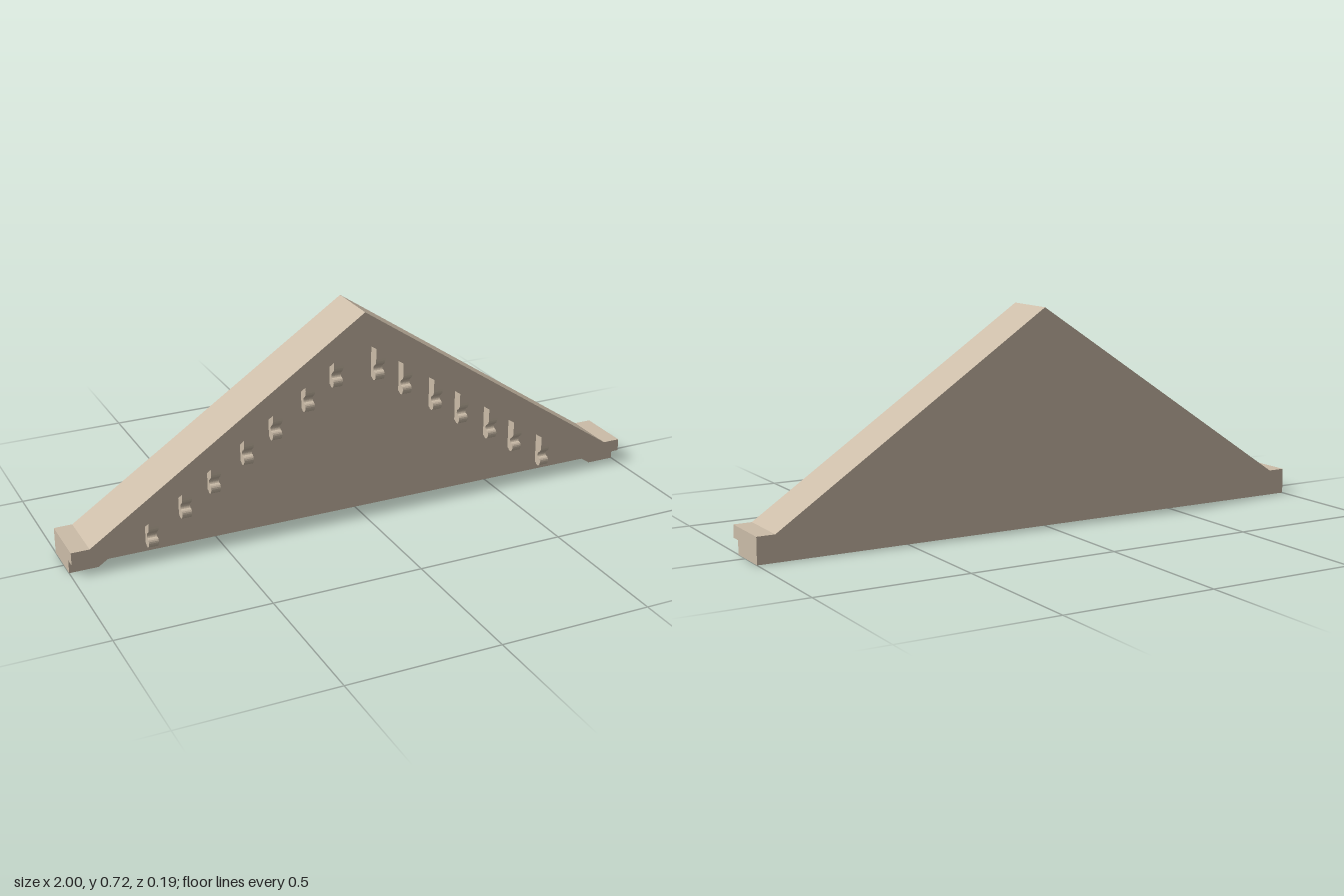
import * as THREE from 'three';

const BACK = -0.094, WALL = 0.019, BED = 0.057, FRONT = 0.094;
const material = new THREE.MeshStandardMaterial({ color: 0xcbbca8, side: THREE.DoubleSide });

// Closed shape from the right half of an outline, mirrored to the left
function mirroredShape(half) {
  const left = half.filter(([x]) => x > 0).reverse().map(([x, y]) => [-x, y]);
  return new THREE.Shape([...half, ...left].map(([x, y]) => new THREE.Vector2(x, y)));
}

function slab(name, shape, z0, z1) {
  const geometry = new THREE.ExtrudeGeometry(shape, { depth: z1 - z0, bevelEnabled: false });
  geometry.translate(0, 0, z0);
  const mesh = new THREE.Mesh(geometry, material);
  mesh.name = name;
  return mesh;
}

// Side profile of a scroll bracket: y = 0 lies on the raking soffit
function bracketGeometry(width) {
  const s = new THREE.Shape();
  s.moveTo(WALL - 0.005, 0.012);
  s.lineTo(BED - 0.001, 0.012);
  s.lineTo(BED - 0.001, -0.026);
  // upper curl, hollow neck, lower curl
  s.bezierCurveTo(0.057, -0.044, 0.046, -0.048, 0.039, -0.054);
  s.bezierCurveTo(0.034, -0.059, 0.034, -0.066, 0.038, -0.071);
  s.bezierCurveTo(0.053, -0.070, 0.056, -0.086, 0.049, -0.096);
  s.bezierCurveTo(0.043, -0.106, 0.030, -0.106, 0.025, -0.098);
  s.lineTo(WALL - 0.005, -0.096);
  const geometry = new THREE.ExtrudeGeometry(s, { depth: width, bevelEnabled: false, curveSegments: 6 });
  geometry.translate(0, 0, -width / 2);
  geometry.rotateY(-Math.PI / 2);
  return geometry;
}

export function createModel() {
  const group = new THREE.Group();
  group.name = 'pediment';

  const top = [[1, 0.087], [0.94, 0.087], [0, 0.717]];

  // Gable wall filling the whole outline
  group.add(slab('gableWall', mirroredShape([[1, 0], ...top]), BACK, WALL));

  // Inner raking moulding
  group.add(slab('bedMoulding',
    mirroredShape([[0, 0.61], [0.905, 0], [1, 0], ...top.slice(0, 2), [0, 0.717]]), WALL, BED));

  // Outer raking moulding with level returns at the eaves
  group.add(slab('crownMoulding',
    mirroredShape([[0, 0.667], [0.925, 0.045], [1, 0.045], ...top]), BED, FRONT));

  // Scroll brackets hanging under the raking moulding
  const geometry = bracketGeometry(0.033);
  for (const side of [-1, 1]) {
    for (const x of [0.075, 0.175, 0.29, 0.39, 0.505, 0.605, 0.72]) {
      const bracket = new THREE.Mesh(geometry, material);
      bracket.name = side > 0 ? 'leftBracket' : 'rightBracket';
      bracket.position.set(side * x, 0.61 * (1 - x / 0.905), 0);
      group.add(bracket);
    }
  }
  return group;
}
